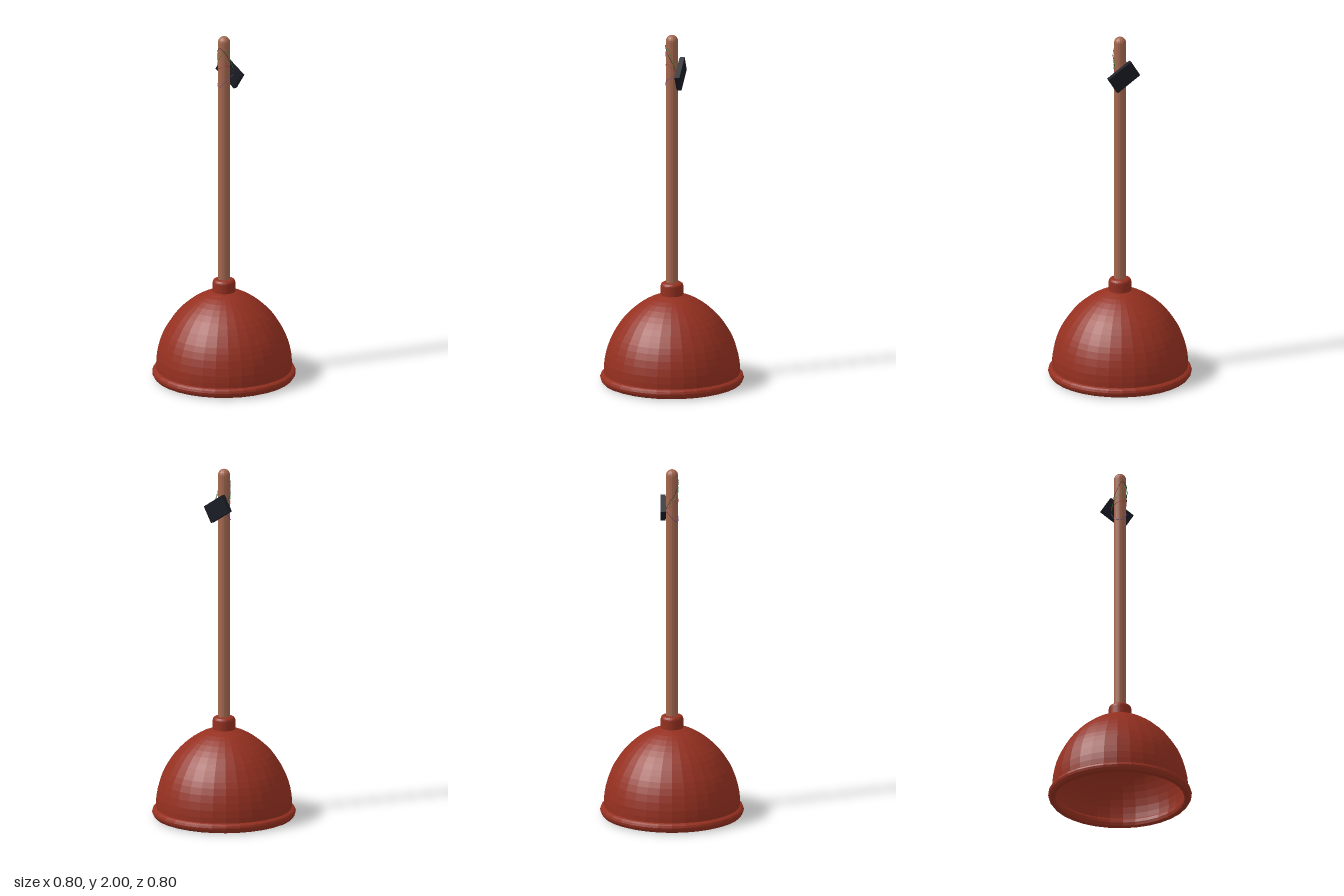
import * as THREE from 'three';

const material = (color, extra = {}) => new THREE.MeshStandardMaterial({ color, ...extra });

export function createModel() {
  const model = new THREE.Group();
  const add = (name, geometry, mat, parent = model) => {
    const mesh = new THREE.Mesh(geometry, mat);
    mesh.name = name;
    parent.add(mesh);
    return mesh;
  };
  const lathe = (points, sides) =>
    new THREE.LatheGeometry(points.map(([r, y]) => new THREE.Vector2(r, y)), sides);
  // Quarter circle from pointing outward to pointing up
  const round = (r, y, size, steps) => Array.from({ length: steps + 1 }, (_, i) => {
    const a = i / steps * Math.PI / 2;
    return [r + size * Math.cos(a), y + size * Math.sin(a)];
  });

  const rubber = material(0x953020, { flatShading: true, side: THREE.DoubleSide });
  const wood = material(0xa5684f, { flatShading: true });
  const black = material(0x1a1c24, { flatShading: true });

  // Dome curve, slightly slimmer than an ellipse at the shoulders
  const dome = new THREE.SplineCurve([
    [0.378, 0.06], [0.377, 0.12], [0.362, 0.195], [0.338, 0.26], [0.31, 0.31],
    [0.272, 0.365], [0.224, 0.415], [0.166, 0.46], [0.108, 0.492], [0.05, 0.512],
  ].map(p => new THREE.Vector2(...p))).getPoints(16).map(p => [p.x, p.y]);
  const inside = dome.map(([r, y]) => [r * 0.972, y * 0.98]).reverse();

  // Hollow rubber cup: thin inner wall, thicker bevelled rim, outer dome
  add('rubberCup', lathe([
    [0, 0.504], ...inside,
    [0.36, 0.048], [0.357, 0.03], [0.36, 0.012], [0.37, 0.003],
    [0.386, 0.009], [0.397, 0.024], [0.4, 0.037], [0.396, 0.049], [0.387, 0.056],
    ...dome,
  ], 32), rubber);

  // Socket that grips the handle
  add('collar', lathe([
    [0.063, 0.48], ...round(0.043, 0.559, 0.02, 5), [0.03, 0.579],
  ], 32), rubber);

  // Wooden stick with a rounded end
  add('handle', lathe([[0, 0.505], [0.034, 0.505], ...round(0, 1.966, 0.034, 6)], 16), wood);

  // Small tilted device strapped to the side of the handle
  const device = new THREE.Group();
  device.name = 'device';
  device.position.set(0.05, 1.78, 0);
  device.rotation.x = 0.57;
  model.add(device);
  add('deviceCase', new THREE.BoxGeometry(0.026, 0.102, 0.161), black, device);
  add('deviceBack', new THREE.BoxGeometry(0.006, 0.09, 0.148), black, device).position.x = -0.014;

  // Thin wires leaving the device and looping behind the handle
  const wires = [
    ['greenWire', 0x2f8a35, 1.88, 1.93, 1.84],
    ['redWire', 0xa02a30, 1.82, 1.84, 1.81],
    ['purpleWire', 0x5b3a96, 1.71, 1.75, 1.71],
    ['blackWire', 0x222222, 1.94, 1.9, 1.87],
  ];
  wires.forEach(([name, color, backY, leftY, rightY], i) => {
    const r = 0.036 + i * 0.001;
    const path = new THREE.CatmullRomCurve3([
      [0.04, 1.785, 0.042], [0.012, (leftY + 1.785) / 2, 0.04], [-0.018, leftY, r * 0.88],
      [-r, backY, 0],
      [-0.018, rightY, -r * 0.88], [0.012, (rightY + 1.775) / 2, -0.04], [0.04, 1.775, -0.042],
    ].map(p => new THREE.Vector3(...p)));
    add(name, new THREE.TubeGeometry(path, 48, 0.0012, 12), material(color));
  });

  return model;
}
